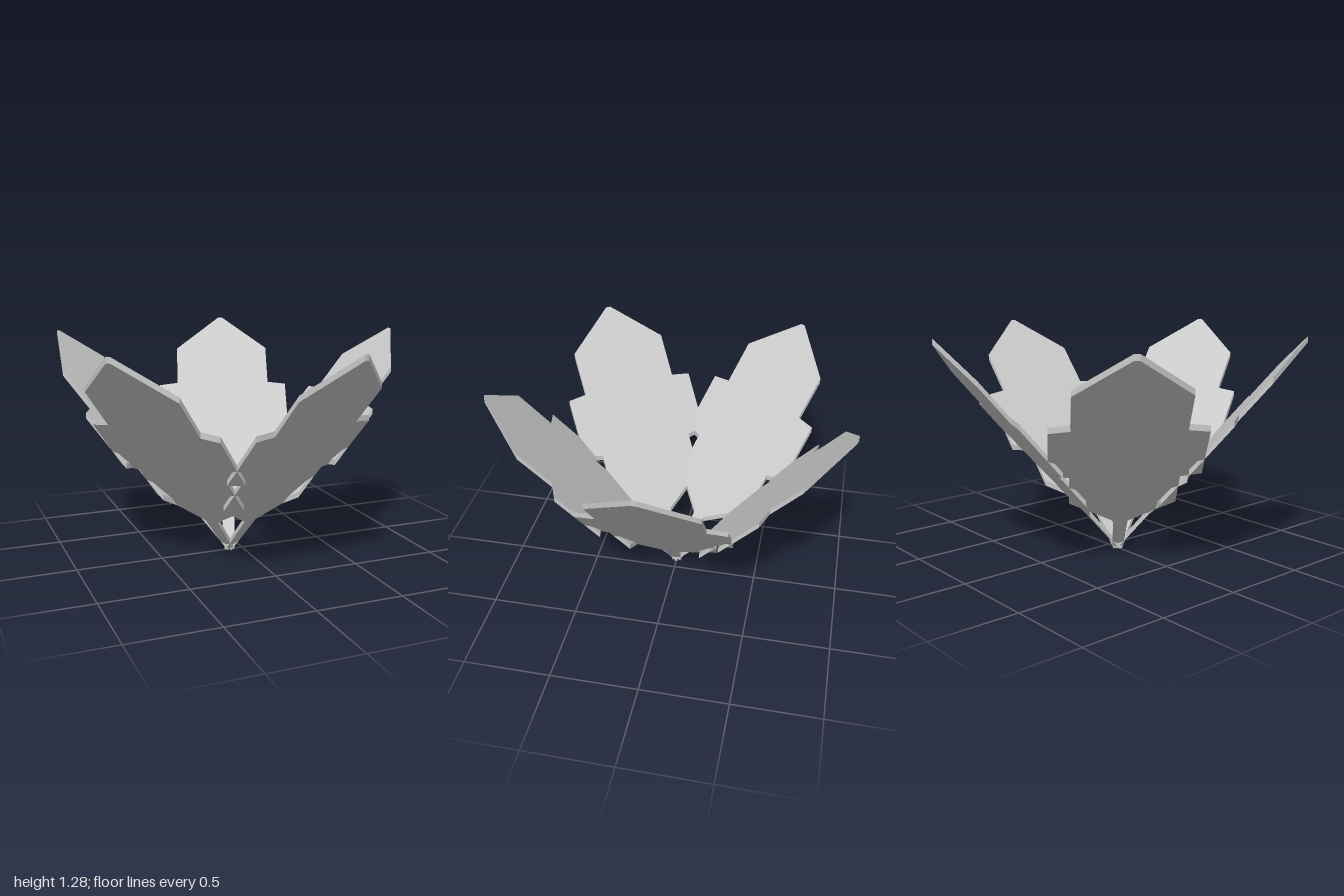
import * as THREE from 'three';

const PETALS = 5;
const THICKNESS = 0.032;
const SLOPE = 1.19; // rise per unit of distance from the centre

// One side of the petal outline: [distance from centre, half width]
const HALF_OUTLINE = [
  [0, 0.03], [0.19, 0.042], [0.31, 0.295], [0.465, 0.295], [0.48, 0.408],
  [0.71, 0.408], [0.72, 0.295], [0.89, 0.295], [1.048, 0.014],
];

// Flat plate, sheared upwards so that its rim stays vertical
function petalGeometry() {
  const mirrored = HALF_OUTLINE.map(([r, w]) => [r, -w]).reverse();
  const points = [...HALF_OUTLINE, ...mirrored].map(([r, w]) => new THREE.Vector2(r, w));
  const geometry = new THREE.ExtrudeGeometry(new THREE.Shape(points), {
    depth: THICKNESS,
    bevelEnabled: false,
  });
  geometry.rotateX(-Math.PI / 2);
  const position = geometry.attributes.position;
  for (let i = 0; i < position.count; i++) {
    position.setY(i, position.getY(i) + SLOPE * position.getX(i));
  }
  geometry.computeVertexNormals();
  return geometry;
}

export function createModel() {
  const model = new THREE.Group();
  model.name = 'flower';
  const material = new THREE.MeshStandardMaterial({ color: 0xcccccc, flatShading: true });
  const geometry = petalGeometry();

  // Ring of petals meeting at the base
  for (let i = 0; i < PETALS; i++) {
    const petal = new THREE.Mesh(geometry, material);
    petal.name = `petal${i + 1}`;
    petal.position.x = -0.08;
    petal.rotation.y = (i / PETALS) * Math.PI * 2;
    model.add(petal);
  }
  return model;
}
